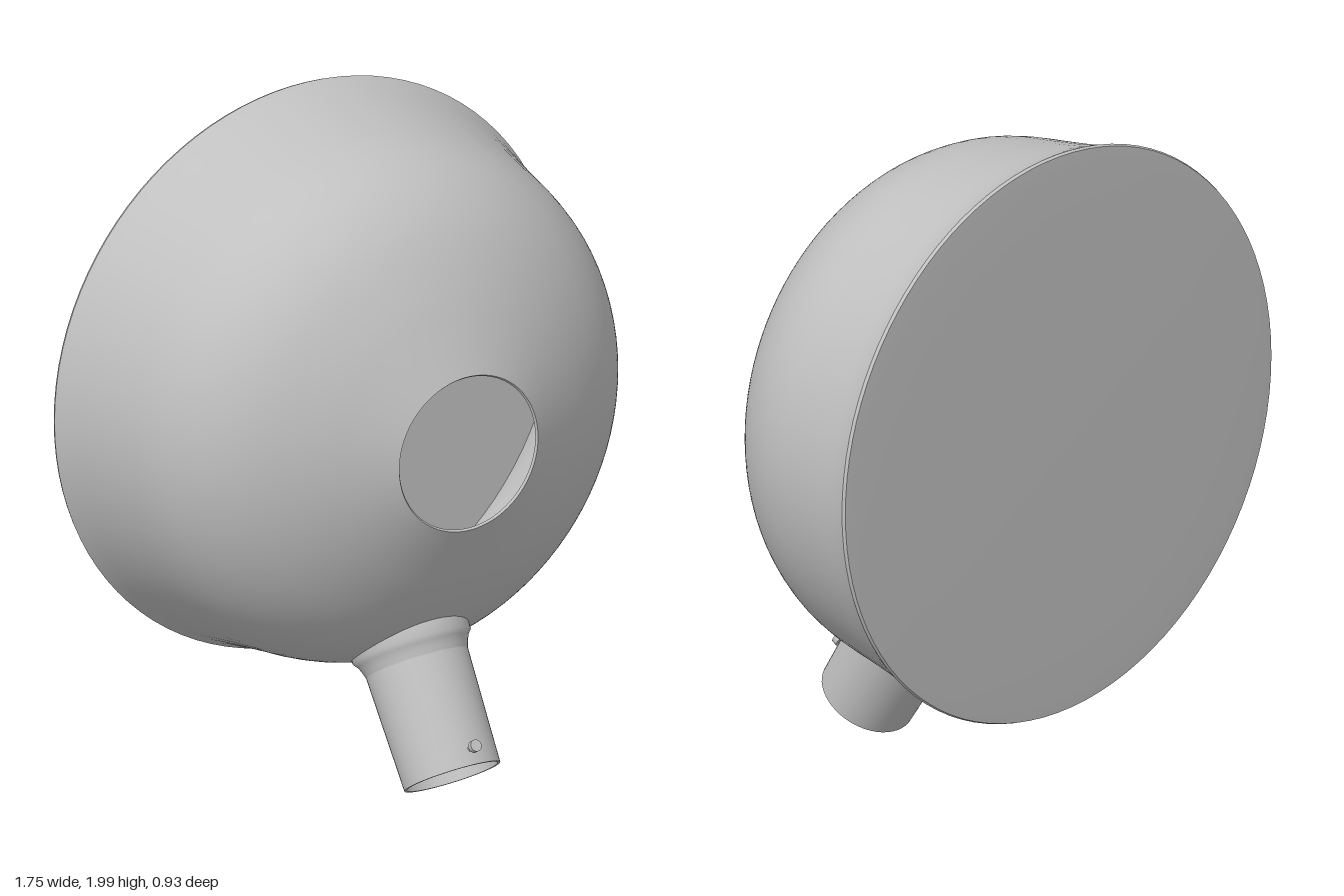
import * as THREE from 'three';

const V = (pairs) => pairs.map(([r, z]) => new THREE.Vector2(r, z));

export function createModel() {
  const model = new THREE.Group();
  model.name = 'bowlWithSpout';
  const grey = new THREE.MeshStandardMaterial({ color: 0xc0c0c0 });
  grey.name = 'grey';

  function add(parent, name, geometry) {
    const mesh = new THREE.Mesh(geometry, grey);
    mesh.name = name;
    parent.add(mesh);
    return mesh;
  }

  // Bowl: all rings turn about an axis running front to back
  const bowl = new THREE.Group();
  bowl.name = 'bowl';
  bowl.position.y = 1.125;
  bowl.rotation.x = Math.PI / 2;
  model.add(bowl);
  const lathe = (name, points) => add(bowl, name, new THREE.LatheGeometry(points, 96));

  const wall = 0.012;
  const outer = new THREE.SplineCurve(V([
    [0.876, -0.452], [0.857, -0.4], [0.839, -0.32], [0.817, -0.2], [0.798, -0.09],
    [0.772, 0], [0.725, 0.09], [0.66, 0.168], [0.58, 0.233], [0.47, 0.3], [0.36, 0.355], [0.24, 0.412],
  ])).getPoints(48);
  const inner = outer.map((p) => new THREE.Vector2(p.x - wall, p.y - wall * 0.6)).reverse();
  inner[0].x = 0.235;
  lathe('outerShell', outer);
  lathe('innerShell', inner);
  lathe('frontHoleRim', [outer[outer.length - 1], inner[0]]);

  // Closed back: a very shallow cap, its inside face and the narrow outer edge
  lathe('backCap', V([[0, -0.468], [0.62, -0.468], [0.83, -0.464], [0.872, -0.462]]));
  lathe('backEdge', V([[0.872, -0.462], [0.876, -0.452]]));
  lathe('backInside', V([[0.872, -0.455], [0, -0.455]]));

  // Spout: open tube leaning down and forward; local +y runs up into the bowl
  const spout = new THREE.Group();
  spout.name = 'spout';
  spout.position.set(0, 0.086, 0.324);
  spout.rotation.x = -0.575;
  model.add(spout);
  const tube = (name, pairs) => add(spout, name, new THREE.LatheGeometry(V(pairs), 48));
  tube('spoutOuter', [[0.146, 0], [0.155, 0.355], [0.155, 0.45]]);
  tube('spoutInner', [[0.145, 0.45], [0.138, 0]]);
  tube('spoutLip', [[0.138, 0], [0.146, 0]]);

  // Small flared collar where the spout meets the bowl
  tube('spoutCollar', [[0.154, 0.345], [0.16, 0.365], [0.168, 0.385], [0.18, 0.4], [0.18, 0.44]]);

  // Locking pin on the front of the spout: stem and wider head
  const pin = new THREE.Group();
  pin.name = 'lockingPin';
  pin.position.set(0, 0.048, 0.145);
  pin.rotation.x = Math.PI / 2;
  spout.add(pin);
  add(pin, 'pinStem', new THREE.CylinderGeometry(0.009, 0.009, 0.05, 16)).position.y = 0.01;
  add(pin, 'pinHead', new THREE.CylinderGeometry(0.018, 0.018, 0.018, 16)).position.y = 0.03;

  return model;
}
